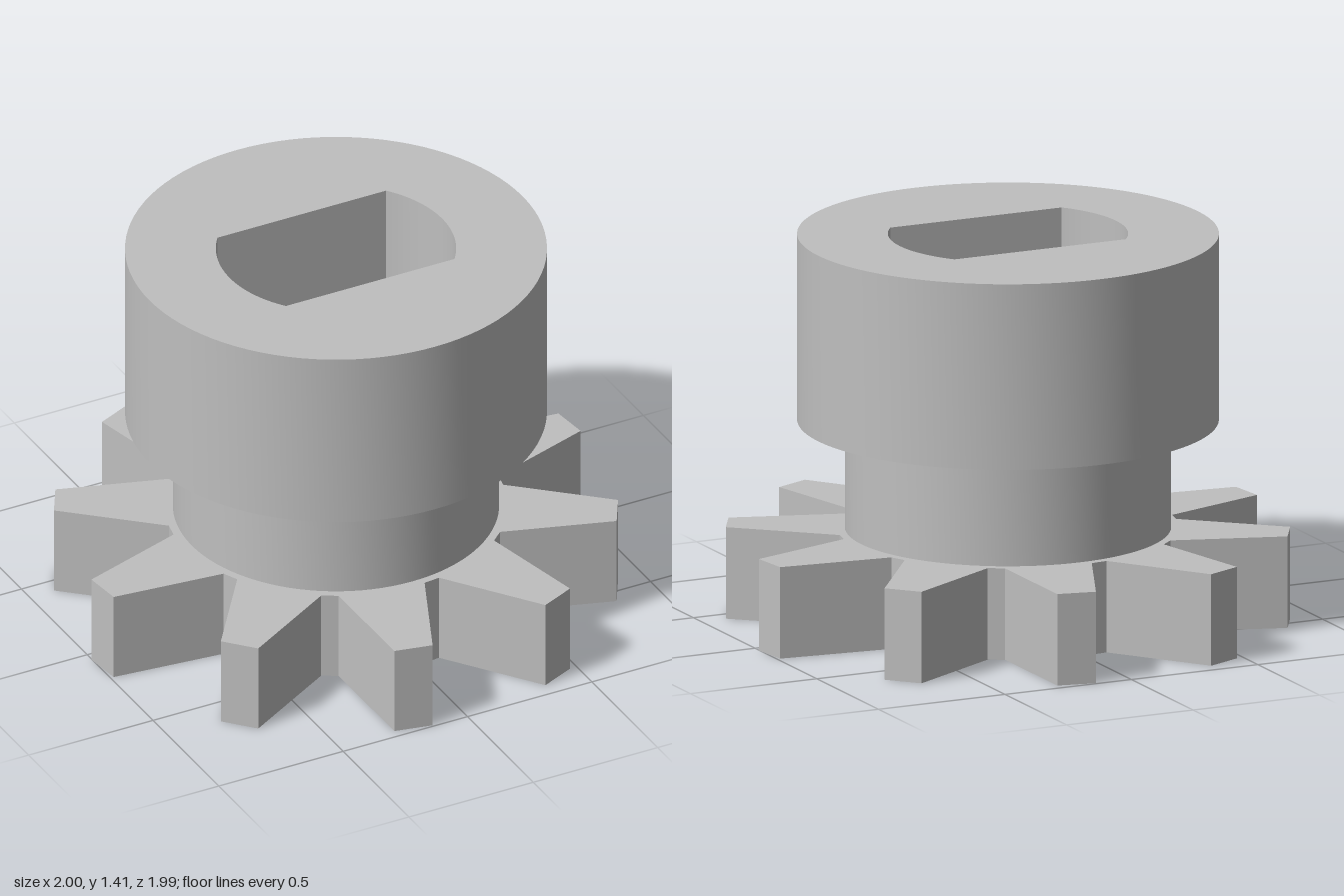
import * as THREE from 'three';
import { toCreasedNormals } from 'three/addons/utils/BufferGeometryUtils.js';

const TEETH = 10;
const deg = THREE.MathUtils.degToRad;

// Shaft hole: a circle cut by two parallel flats
function boreHole() {
  const r = 0.427, a = Math.asin(0.26 / r);
  const hole = new THREE.Path();
  hole.absarc(0, 0, r, -a, a, false);
  hole.absarc(0, 0, r, Math.PI - a, Math.PI + a, false);
  hole.closePath();
  return hole;
}

function discShape(radius) {
  return new THREE.Shape().absarc(0, 0, radius, 0, Math.PI * 2, false);
}

// Straight-flanked teeth with narrow flat roots
function gearShape() {
  const rootR = 0.61, tipR = 1.003;
  const points = [];
  for (let i = 0; i < TEETH; i++) {
    const mid = 6.1 + (i * 360) / TEETH;
    for (const [r, offset] of [[rootR, -15.1], [tipR, -4.05], [tipR, 4.05], [rootR, 15.1]]) {
      const a = deg(mid + offset);
      points.push(new THREE.Vector2(r * Math.cos(a), r * Math.sin(a)));
    }
  }
  return new THREE.Shape(points);
}

export function createModel() {
  const group = new THREE.Group();
  group.name = 'pinionGear';
  const metal = new THREE.MeshStandardMaterial({ color: 0xbfbfbf });
  metal.name = 'plain grey';

  // Each section is a bored profile raised from y0 to y1
  function addSection(name, shape, y0, y1) {
    shape.holes.push(boreHole());
    const extruded = new THREE.ExtrudeGeometry(shape, {
      depth: y1 - y0, bevelEnabled: false, curveSegments: 48,
    });
    extruded.rotateX(-Math.PI / 2);
    extruded.translate(0, y0, 0);
    const mesh = new THREE.Mesh(toCreasedNormals(extruded, deg(15)), metal);
    mesh.name = name;
    group.add(mesh);
  }

  addSection('toothedWheel', gearShape(), 0, 0.335);
  addSection('neck', discShape(0.58), 0.335, 0.73);
  addSection('collar', discShape(0.75), 0.73, 1.41);
  return group;
}
